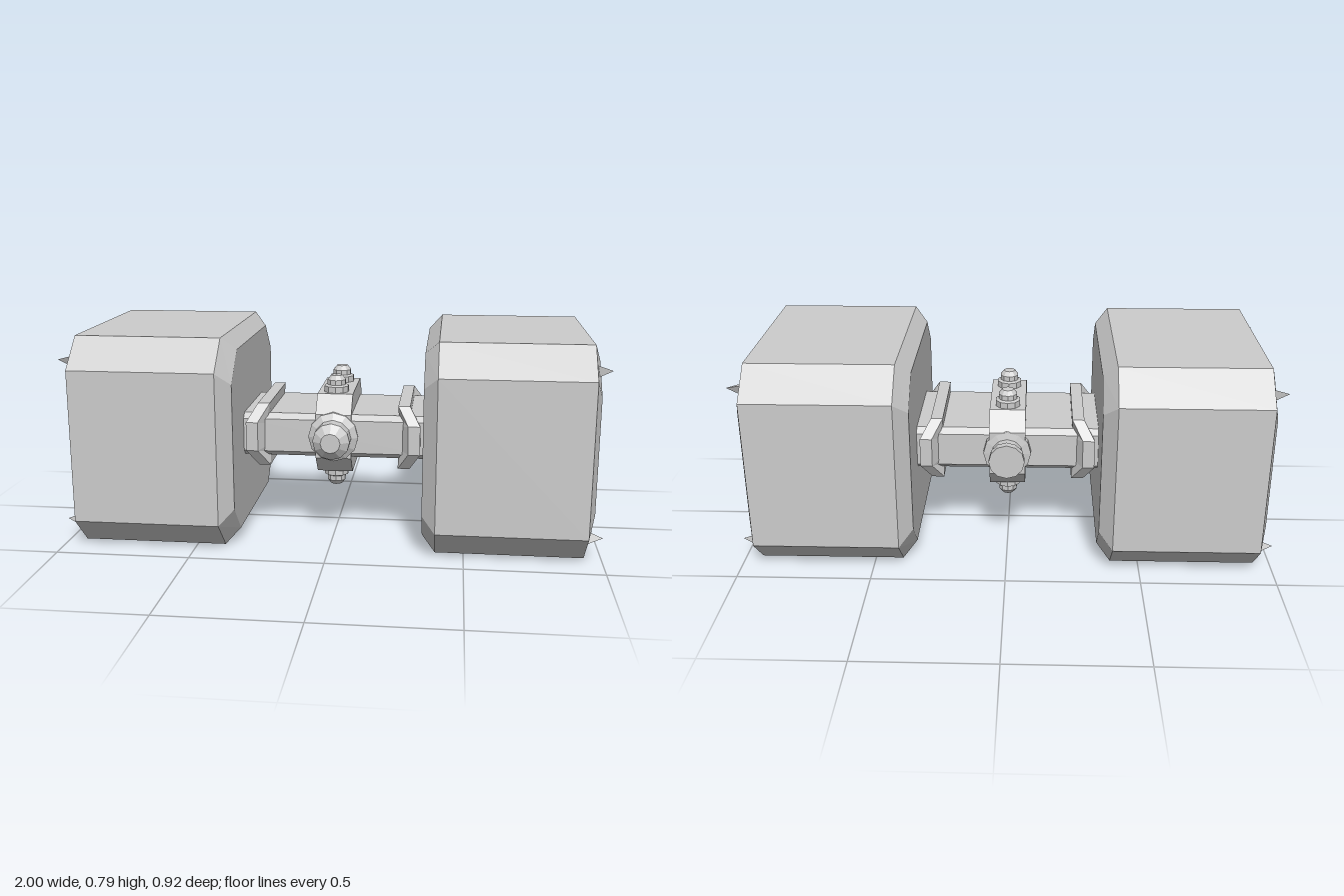
import * as THREE from 'three';

const mat = new THREE.MeshStandardMaterial({ color: 0xcccccc, flatShading: true, side: THREE.DoubleSide });
const CY = 0.395; // height of the handle axis

function add(parent, name, geo, x = 0, y = 0, z = 0) {
  const m = new THREE.Mesh(geo, mat);
  m.name = name;
  m.position.set(x, y, z);
  parent.add(m);
  return m;
}

// Octagon as [y, z] pairs: half sizes hy, hz and the half lengths fy, fz of its flats
function octagon(hy, hz, fy, fz) {
  return [[hy, -fz], [hy, fz], [fy, hz], [-fy, hz], [-hy, fz], [-hy, -fz], [-fy, -hz], [fy, -hz]];
}

function fromTriangles(pos) {
  const g = new THREE.BufferGeometry();
  g.setAttribute('position', new THREE.Float32BufferAttribute(pos, 3));
  g.computeVertexNormals();
  return g;
}

// Skin a row of loops, each an array of [x, y, z]; capped at both ends or closed into a ring
function skin(loops, ring = false) {
  const pos = [];
  const tri = (a, b, c) => pos.push(...a, ...b, ...c);
  const n = loops[0].length;
  const count = ring ? loops.length : loops.length - 1;
  for (let k = 0; k < count; k++) {
    const a = loops[k], b = loops[(k + 1) % loops.length];
    for (let i = 0; i < n; i++) {
      const j = (i + 1) % n;
      tri(a[i], a[j], b[j]);
      tri(a[i], b[j], b[i]);
    }
  }
  if (!ring) {
    const first = loops[0], last = loops[loops.length - 1];
    for (let i = 1; i < n - 1; i++) {
      tri(last[0], last[i], last[i + 1]);
      tri(first[0], first[i + 1], first[i]);
    }
  }
  return fromTriangles(pos);
}

const loft = (sections) => skin(sections.map(([x, oct]) => oct.map(([y, z]) => [x, y, z])));

// Turned part from [radius, height] pairs
function turned(points, segments) {
  return new THREE.LatheGeometry(points.map(([r, h]) => new THREE.Vector2(r, h)), segments);
}

// Collar: band around the handle whose top and bottom lean towards the middle
function collarGeometry() {
  const outer = octagon(0.122, 0.237, 0.055, 0.19);
  const inner = octagon(0.075, 0.195, 0.045, 0.165);
  const loops = outer.map(([y, z], i) => {
    const [iy, iz] = inner[i];
    const lean = Math.abs(y) > 0.1 ? -0.04 : 0;
    return [
      [0.33 + lean, y, z], [0.33 + lean, iy, iz],
      [0.258 + lean * 0.3, iy, iz], [0.285 + lean, y, z],
    ];
  });
  return skin(loops, true);
}

export function createModel() {
  const model = new THREE.Group();
  model.name = 'hammer';

  // Two block heads with bevelled ends, corner spikes and a collar each
  const headGeo = loft([
    [0.345, octagon(0.345, 0.405, 0.235, 0.295)],
    [0.395, octagon(0.395, 0.46, 0.285, 0.345)],
    [0.938, octagon(0.395, 0.46, 0.285, 0.345)],
    [0.965, octagon(0.325, 0.38, 0.215, 0.27)],
  ]);
  const spikeGeo = new THREE.ConeGeometry(0.028, 0.06, 3);
  spikeGeo.rotateZ(-Math.PI / 2);
  const collarGeo = collarGeometry();
  for (const side of [1, -1]) {
    const end = new THREE.Group();
    end.name = side > 0 ? 'leftEnd' : 'rightEnd';
    end.position.y = CY;
    if (side < 0) end.rotation.y = Math.PI;
    add(end, 'head', headGeo);
    add(end, 'collar', collarGeo);
    for (const y of [-1, 1]) for (const z of [-1, 1]) {
      const spike = add(end, 'spike', spikeGeo, 0.97, y * 0.308, z * 0.366);
      spike.rotation.x = Math.atan2(z, y) + 0.4;
    }
    model.add(end);
  }

  // Flat handle with chamfered edges
  const bar = octagon(0.083, 0.203, 0.063, 0.18);
  add(model, 'handle', loft([[-0.36, bar], [0.36, bar]]), 0, CY, 0);

  // Strap wrapped around the middle of the handle
  const strap = octagon(0.153, 0.218, 0.085, 0.155);
  add(model, 'strap', loft([[-0.068, strap], [0.068, strap]]), 0, CY, -0.015);

  // Pairs of domed bolts above and below the strap
  const boltGeo = turned([
    [0.048, 0.14], [0.048, 0.176], [0.036, 0.181], [0.036, 0.2], [0.022, 0.217], [0, 0.219],
  ], 10);
  for (const up of [1, -1]) for (const z of [-0.117, 0.085]) {
    const bolt = add(model, 'bolt', boltGeo, 0, CY, z);
    if (up < 0) bolt.rotation.x = Math.PI;
  }

  // Cross pin: tapered knob at the front, flat disc at the back
  const knob = add(model, 'frontKnob', turned([
    [0, 0.15], [0.095, 0.18], [0.095, 0.21], [0.07, 0.225], [0.07, 0.28], [0.037, 0.308], [0, 0.308],
  ], 12), 0, CY, 0);
  knob.rotation.x = Math.PI / 2;
  const disc = add(model, 'backDisc', turned([
    [0, 0.18], [0.09, 0.2], [0.09, 0.232], [0.06, 0.238], [0.06, 0.278], [0.067, 0.28], [0.067, 0.31], [0, 0.31],
  ], 12), 0, CY, 0);
  disc.rotation.x = -Math.PI / 2;

  return model;
}
